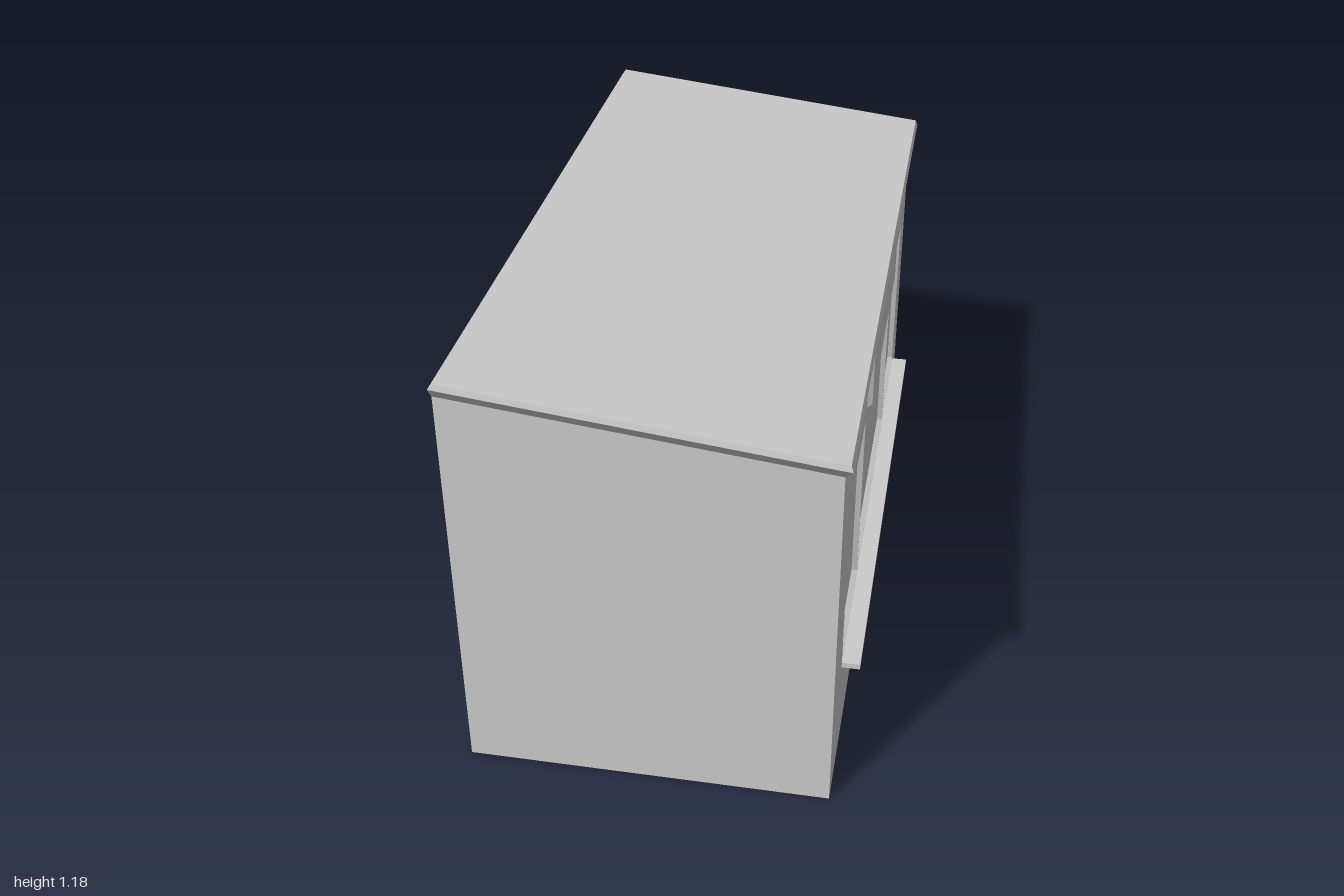
import * as THREE from 'three';

const material = new THREE.MeshStandardMaterial({ color: 0xcccccc, flatShading: true, side: THREE.DoubleSide });

// Skin through four-cornered rings, closed over the last ring and optionally the first
function loft(rings, closeFirst = false) {
  const pos = [];
  const quad = (a, b, c, d) => pos.push(...a, ...b, ...c, ...a, ...c, ...d);
  for (let r = 0; r < rings.length - 1; r++) {
    for (let i = 0; i < 4; i++) {
      const j = (i + 1) % 4;
      quad(rings[r][i], rings[r][j], rings[r + 1][j], rings[r + 1][i]);
    }
  }
  quad(...rings[rings.length - 1]);
  if (closeFirst) quad(...[...rings[0]].reverse());
  const g = new THREE.BufferGeometry();
  g.setAttribute('position', new THREE.Float32BufferAttribute(pos, 3));
  g.computeVertexNormals();
  return g;
}

// Upright rectangle facing +x, shrunk by inset
function panelRing(x, [z0, z1, y0, y1], inset = 0) {
  const a = z0 + inset, b = z1 - inset, c = y0 + inset, d = y1 - inset;
  return [[x, c, b], [x, c, a], [x, d, a], [x, d, b]];
}

export function createModel() {
  const group = new THREE.Group();
  const add = (name, geometry) => {
    const mesh = new THREE.Mesh(geometry, material);
    mesh.name = name;
    group.add(mesh);
    return mesh;
  };

  const back = -0.505, front = 0.457, halfZ = 0.964, wall = 0.004;
  const eave = (x) => 1.13 - (x - back) * 0.1146; // sloping wall top
  const thin = { depth: wall, bevelEnabled: false };

  // Thin end walls with slanted tops; the underside stays open
  const profile = new THREE.Shape([
    new THREE.Vector2(back, 0), new THREE.Vector2(front - wall, 0),
    new THREE.Vector2(front - wall, eave(front - wall)), new THREE.Vector2(back, eave(back)),
  ]);
  add('leftEndWall', new THREE.ExtrudeGeometry(profile, thin)).position.z = halfZ - wall;
  add('rightEndWall', new THREE.ExtrudeGeometry(profile, thin)).position.z = -halfZ;

  // Plain long wall
  const backHeight = eave(back + wall);
  add('backWall', new THREE.BoxGeometry(wall, backHeight, 2 * (halfZ - wall)))
    .position.set(back + wall / 2, backHeight / 2, 0);

  // Serving wall with three openings: [z min, z max, y min, y max]
  const windows = [
    [0.383, 0.767, 0.296, 0.798],
    [-0.397, 0.377, 0.296, 0.798],
    [-0.787, -0.403, 0.296, 0.798],
  ];
  const rect = (Type, [z0, z1, y0, y1]) => new Type([
    new THREE.Vector2(-z1, y0), new THREE.Vector2(-z0, y0),
    new THREE.Vector2(-z0, y1), new THREE.Vector2(-z1, y1),
  ]);
  const face = rect(THREE.Shape, [-halfZ, halfZ, 0, eave(front)]);
  windows.forEach((w) => face.holes.push(rect(THREE.Path, w)));
  add('servingWall', new THREE.ExtrudeGeometry(face, thin).rotateY(Math.PI / 2))
    .position.x = front - wall;

  // Recessed panes with tapered reveals
  windows.forEach((w, i) => add(`windowPane${i + 1}`,
    loft([panelRing(front, w), panelRing(front - 0.015, w, 0.006)])));

  // Sign board with chamfered rim
  const sign = [-0.375, 0.36, 0.823, 0.996];
  add('signBoard', loft([panelRing(front, sign), panelRing(front + 0.013, sign, 0.007)]));

  // Counter shelf under the windows
  add('counterShelf', new THREE.BoxGeometry(0.048, 0.016, 1.555))
    .position.set(front + 0.024, 0.285, -0.01);

  // Sloping roof slab: flared underside, then a small chamfer
  const roofRing = (x0, x1, z, lift) => [
    [x0, eave(x0) + lift, z], [x1, eave(x1) + lift, z],
    [x1, eave(x1) + lift, -z], [x0, eave(x0) + lift, -z],
  ];
  add('roof', loft([
    roofRing(back, front, halfZ, 0),
    roofRing(-0.5, 0.478, 1, 0.041),
    roofRing(-0.49, 0.472, 0.996, 0.056),
  ], true));

  return group;
}
